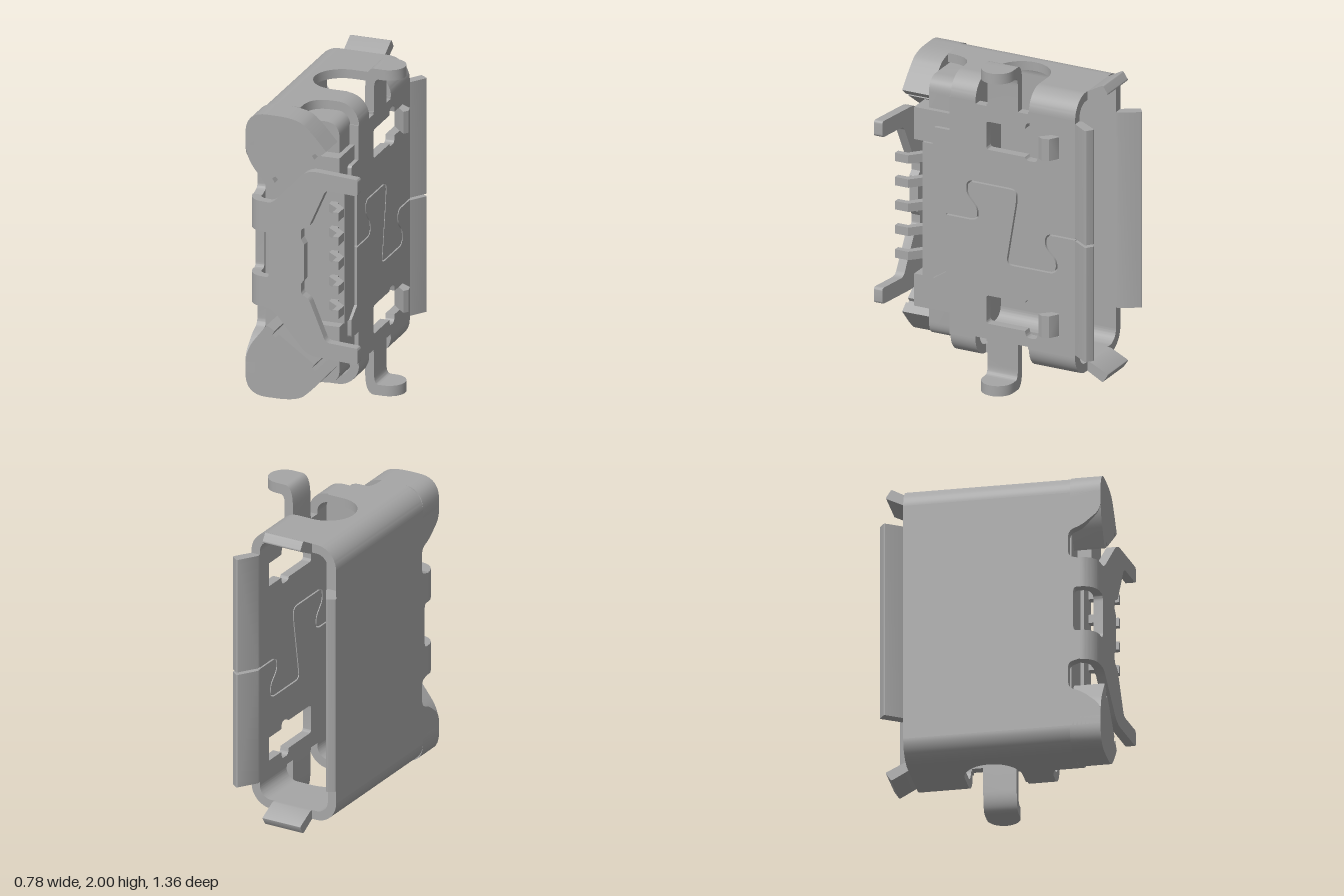
import * as THREE from 'three';
import { toCreasedNormals } from 'three/addons/utils/BufferGeometryUtils.js';

const T = 0.055;          // sheet thickness
const MID = 2.004;        // mirror: y -> MID - y
const L = -0.33, R = 0.235, TOP = 1.87, RAD = 0.13;
const BACK = -0.545;

// Trace points [a, b, cornerRadius?] into a path with rounded corners
function trace(path, pts, closed = true) {
  const n = pts.length;
  const toward = (p, q, r) => {
    const d = Math.hypot(q[0] - p[0], q[1] - p[1]);
    const k = Math.min(r / d, 0.499);
    return [p[0] + (q[0] - p[0]) * k, p[1] + (q[1] - p[1]) * k];
  };
  pts.forEach((p, i) => {
    const first = i === 0;
    if (!p[2] || (!closed && (first || i === n - 1))) {
      first ? path.moveTo(p[0], p[1]) : path.lineTo(p[0], p[1]);
      return;
    }
    const s = toward(p, pts[(i + n - 1) % n], p[2]);
    const e = toward(p, pts[(i + 1) % n], p[2]);
    first ? path.moveTo(...s) : path.lineTo(...s);
    path.quadraticCurveTo(p[0], p[1], ...e);
  });
  if (closed) path.closePath();
  return path;
}
const poly = (pts) => trace(new THREE.Shape(), pts);
const flipA = (pts) => pts.map(([a, b, r]) => [-a, b, r]);
const flipB = (pts) => pts.map(([a, b, r]) => [a, -b, r]);

function extrude(shape, depth) {
  return new THREE.ExtrudeGeometry(shape, { depth, bevelEnabled: false, curveSegments: 10 });
}
// Extrusions along each axis; shapes are in (x,y), (-z,y) and (x,-z)
const alongZ = (s, z0, z1) => extrude(s, z1 - z0).translate(0, 0, z0);
const alongX = (s, x0, x1) => extrude(s, x1 - x0).rotateY(Math.PI / 2).translate(x0, 0, 0);
const alongY = (s, y0, y1) => extrude(s, y1 - y0).rotateX(-Math.PI / 2).translate(0, y0, 0);

// Mirrored copy in y, with the corner order put right
function mirrorY(geo) {
  const g = (geo.index ? geo.toNonIndexed() : geo.clone()).scale(1, -1, 1).translate(0, MID, 0);
  for (const a of Object.values(g.attributes)) {
    const s = a.itemSize;
    for (let i = 0; i < a.count; i += 3) {
      for (let k = 0; k < s; k++) {
        const p = (i + 1) * s + k, q = (i + 2) * s + k;
        [a.array[p], a.array[q]] = [a.array[q], a.array[p]];
      }
    }
  }
  return g;
}

// Quarter ring from angle a0 about (cx, cy)
function quarter(cx, cy, r, a0) {
  const s = new THREE.Shape();
  s.absarc(cx, cy, r, a0, a0 + Math.PI / 2, false);
  s.absarc(cx, cy, r - T, a0 + Math.PI / 2, a0, true);
  s.closePath();
  return s;
}

export function createModel() {
  const model = new THREE.Group();
  model.name = 'connectorSocket';
  const steel = new THREE.MeshStandardMaterial({ color: 0xa6a6a6 });
  steel.name = 'grey metal';

  const add = (name, geo) => {
    const m = new THREE.Mesh(toCreasedNormals(geo, 0.6), steel);
    m.name = name;
    model.add(m);
  };
  const pair = (name, geo) => {
    add(name + 'Upper', geo);
    add(name + 'Lower', mirrorY(geo));
  };

  // Shell side wall on the left, split by the interlocking seam
  const seam = trace(new THREE.Path(), flipA([
    [0.29, 1.005], [0.085, 1.005, 0.05], [0.085, 1.08, 0.03], [0.155, 1.16, 0.03],
    [0.155, 1.24, 0.04], [-0.172, 1.24, 0.05], [-0.165, 1.15, 0.02], [-0.103, 0.768, 0.04],
    [-0.425, 0.768, 0.05], [-0.425, 0.85, 0.03], [-0.355, 0.92, 0.03], [-0.355, 1.002, 0.05],
    [BACK, 1.002],
  ]), false).getPoints(5).filter((p, i, a) => !i || p.distanceTo(a[i - 1]) > 1e-4);
  const seamSide = (d) => seam.map((p, i) => {
    const t = seam[Math.min(i + 1, seam.length - 1)].clone().sub(seam[Math.max(i - 1, 0)]).normalize();
    return [p.x - t.y * d, p.y + t.x * d];
  });
  const rim = flipA([
    [BACK, 1.74], [-0.24, 1.74], [-0.24, 1.725], [-0.17, 1.725], [-0.17, 1.74], [0.03, 1.74],
    [0.03, 1.725], [0.1, 1.725], [0.1, 1.74], [0.27, 1.74], [0.27, 1.53], [0.38, 1.53, 0.02],
    [0.38, 1.42], [0.29, 1.36],
  ]);
  const slot = flipA([
    [0.03, 1.455, 0.02], [0.03, 1.63, 0.02], [-0.22, 1.63], [-0.23, 1.67, 0.02], [-0.295, 1.67, 0.02],
    [-0.305, 1.625], [-0.44, 1.625], [-0.44, 1.48], [-0.305, 1.48], [-0.295, 1.435, 0.02],
    [-0.23, 1.435, 0.02], [-0.22, 1.455],
  ]);
  const mirrorPts = (pts) => pts.map(([a, b, r]) => [a, MID - b, r]);
  [['Upper', 0.005, rim, slot], ['Lower', -0.005, mirrorPts(rim), mirrorPts(slot)]].forEach(([n, d, edge, hole]) => {
    const s = poly([...seamSide(d), ...edge]);
    s.holes.push(trace(new THREE.Path(), hole));
    add('seamedWall' + n, alongX(s, R - T, R));
  });

  // Shell wall on the right, notched at its front edge
  const half = [
    [BACK, 1.74], [0.61, 1.74], [0.61, 1.62, 0.05], [0.5, 1.53, 0.04], [0.42, 1.5, 0.04],
    [0.42, 1.34, 0.03], [0.49, 1.32], [0.49, 1.14], [0.45, 1.14, 0.03],
  ];
  add('plainWall', alongX(poly(flipA([...half, ...mirrorPts(half).reverse()])), L, L + T));

  // Shell end walls with the round window and the front opening
  const endWall = new THREE.Shape();
  const x0 = L + RAD, x1 = R - RAD;
  endWall.moveTo(x0, -0.43);
  endWall.lineTo(-0.06, -0.43);
  endWall.lineTo(-0.06, -0.385);
  endWall.quadraticCurveTo(-0.05, -0.265, 0.06, -0.262);
  endWall.lineTo(x1, -0.262);
  endWall.lineTo(x1, -0.09);
  endWall.lineTo(0, -0.09);
  endWall.absarc(0, 0.078, 0.168, -Math.PI / 2, Math.PI / 2, true);
  endWall.lineTo(x1, 0.246);
  endWall.lineTo(x1, -BACK);
  endWall.lineTo(x0, -BACK);
  pair('endWall', alongY(endWall, TOP - T, TOP));

  // Rounded shell corners
  const cy = TOP - RAD;
  pair('roundCorner', alongZ(quarter(x0, cy, RAD, Math.PI / 2), BACK, 0.43));
  pair('rearCorner', alongZ(quarter(x1, cy, RAD, 0), BACK, -0.246));
  pair('middleCorner', alongZ(quarter(x1, cy, RAD, 0), 0.1, 0.262));

  // Folded corner flaps at the front
  pair('cornerFlap', alongZ(poly([
    [-0.33, 1.6, 0.09], [-0.33, 1.87, 0.13], [-0.01, 1.87, 0.13], [0.08, 1.79, 0.05], [0.168, 1.69],
    [0.12, 1.65], [0.1, 1.67], [0.08, 1.655], [0.095, 1.632], [-0.125, 1.475], [-0.145, 1.497],
    [-0.165, 1.483], [-0.15, 1.457], [-0.2, 1.43],
  ]), 0.43, 0.61));

  // Flared lips around the rear opening
  const sideLip = flipB([[R, BACK], [0.303, -0.645, 0.01], [0.255, -0.68, 0.01], [R - T, -0.565], [R - T, BACK]]);
  pair('seamedLip', alongY(poly(sideLip), 1.01, 1.72));
  const plainLip = flipB([[L, BACK], [-0.392, -0.645, 0.01], [-0.345, -0.68, 0.01], [L + T, -0.565], [L + T, BACK]]);
  add('plainLip', alongY(poly(plainLip), 0.395, 1.61));
  const endLip = flipA([[BACK, TOP], [-0.645, 1.925, 0.01], [-0.68, 1.872, 0.01], [-0.565, TOP - T], [BACK, TOP - T]]);
  pair('endLip', alongX(poly(endLip), -0.17, 0.083));

  // Mounting legs with rounded feet
  pair('mountingLeg', alongZ(poly([
    [R - T, 1.72], [R, 1.72], [R, 1.94, 0.06], [0.292, 1.94], [0.292, 2.004], [R - T, 2.004, 0.13],
  ]), -0.174, 0.022));
  const foot = new THREE.Shape();
  foot.absarc(0.292, 0.076, 0.098, -Math.PI / 2, Math.PI / 2, false);
  foot.closePath();
  pair('mountingFoot', alongY(foot, 1.94, 2.004));

  // Spring catches in the wall slots
  pair('springCatch', alongY(poly(flipB([
    [0.18, -0.44], [0.235, -0.45], [0.28, -0.33], [0.3, -0.36], [0.29, -0.41], [0.235, -0.45],
  ].slice(0, 1).concat([[0.235, -0.375], [0.28, -0.33], [0.3, -0.36], [0.29, -0.405], [0.235, -0.44]]))), 1.485, 1.62));

  // Sloping front plate with two prongs, and its bends to the wall
  const plateHalf = [
    [-0.19, 1.14, 0.04], [-0.23, 1.14], [-0.23, 1.325], [-0.17, 1.325, 0.05], [0.06, 1.57, 0.06],
    [0.388, 1.57, 0.02], [0.388, 1.47, 0.02], [0.18, 1.47, 0.03], [0.07, 1.225, 0.02],
    [0.018, 1.2, 0.02], [0.018, 1.14], [0.04, 1.11],
  ];
  const plate = alongZ(poly([...plateHalf, ...mirrorPts(plateHalf).reverse()]), 0.624 - T, 0.624);
  const pos = plate.attributes.position;
  for (let i = 0; i < pos.count; i++) pos.setZ(i, pos.getZ(i) + 0.143 * pos.getX(i));
  plate.computeVertexNormals();
  add('frontPlate', plate);
  pair('plateBend', alongY(quarter(-0.23, -0.49, 0.1, Math.PI), 1.14, 1.325));

  // Inner insulator
  const body = [[-0.275, 0.2, 0.09], [0.18, 0.2, 0.09], [0.18, 1.805, 0.09], [-0.275, 1.805, 0.09]];
  add('insulatorBody', alongZ(poly(body), 0.2, 0.43));
  const box = (w, h, d, x, y, z) => new THREE.BoxGeometry(w, h, d).toNonIndexed().translate(x, y, z);
  pair('insulatorShoulder', box(0.3, 0.2, 0.24, 0.06, 1.52, 0.39));
  add('insulatorBar', alongX(poly(flipA([
    [0.45, 0.585], [0.45, 1.417], [0.385, 1.417], [0.295, 1.35], [0.295, 0.65], [0.385, 0.585],
  ])), 0.0, 0.22));

  // Five bent contacts
  const contact = poly(flipB([
    [0.14, 0.4], [0.14, 0.49], [0.21, 0.55], [0.21, 0.615], [0.247, 0.615], [0.247, 0.53],
    [0.185, 0.47], [0.185, 0.4],
  ]));
  for (let i = -2; i <= 2; i++) {
    const y = MID / 2 + i * 0.15;
    add('contact' + (i + 3), alongY(contact, y - 0.026, y + 0.026));
  }
  return model;
}
